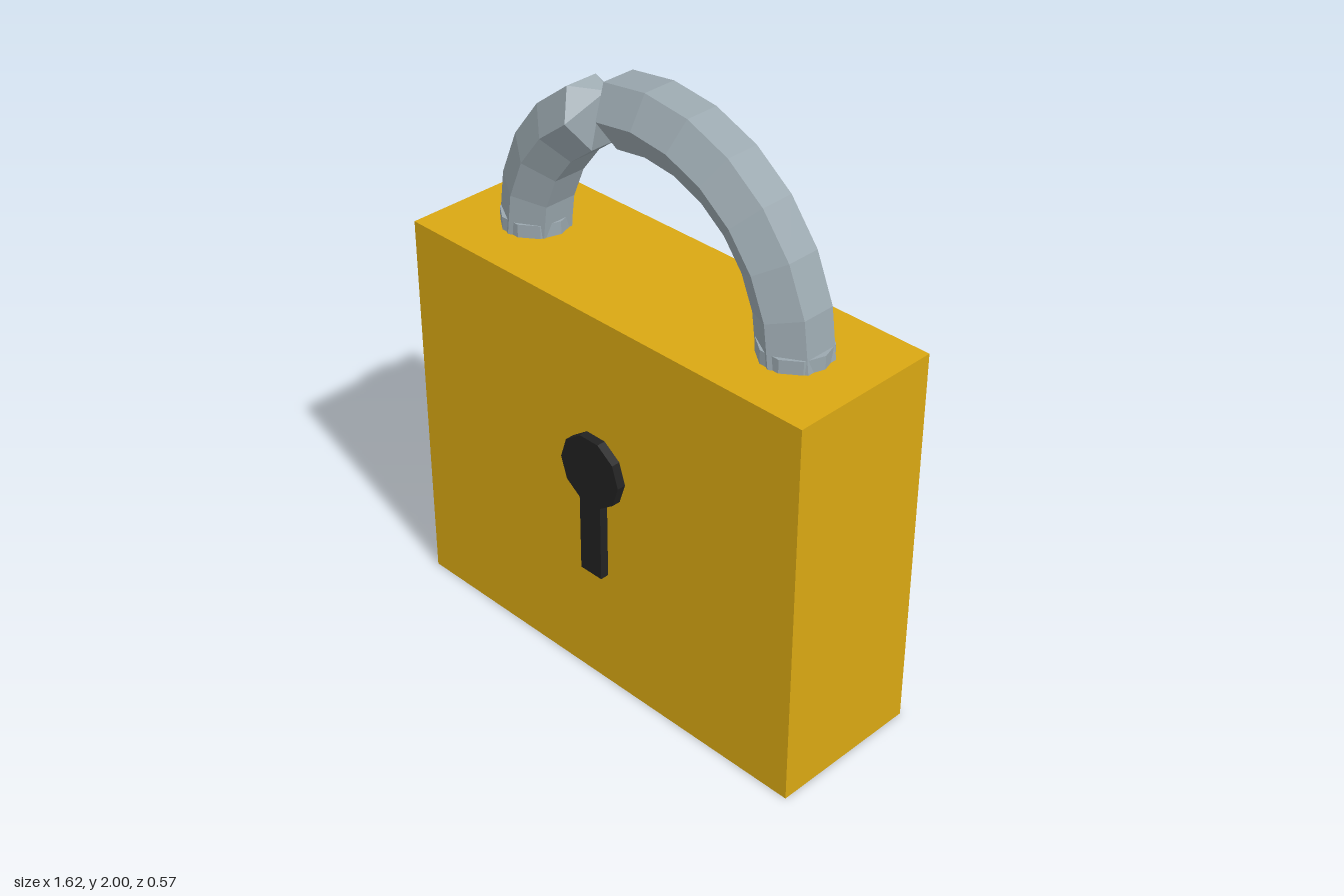
import * as THREE from 'three';

const BODY_TOP = 1.355, CENTRE_Z = -0.015;

function material(color) {
  return new THREE.MeshStandardMaterial({ color, flatShading: true, side: THREE.DoubleSide });
}

function part(name, geometry, mat, x, y, z) {
  const mesh = new THREE.Mesh(geometry, mat);
  mesh.name = name;
  mesh.position.set(x, y, z);
  return mesh;
}

// Ten-sided prism with corners on the x axis
function decagon(radius, height) {
  return new THREE.CylinderGeometry(radius, radius, height, 10, 1, false, Math.PI / 2);
}

// Half-circle hexagonal tube; the rings past twistAt are turned half a turn, pinching the bar
function shackleGeometry(R, r, segments, twistAt) {
  const sides = 6, positions = [], index = [];
  for (let j = 0; j <= segments; j++) {
    const theta = (j / segments) * Math.PI;
    for (let k = 0; k < sides; k++) {
      const phi = (k / sides) * Math.PI * 2 + (j > twistAt ? Math.PI : 0);
      const d = R + r * Math.sin(phi);
      positions.push(d * Math.cos(theta), d * Math.sin(theta), r * Math.cos(phi));
    }
  }
  for (let j = 0; j < segments; j++) {
    for (let k = 0; k < sides; k++) {
      const n = (k + 1) % sides;
      const a = j * sides + k, b = j * sides + n;
      const c = b + sides, d = a + sides;
      index.push(a, b, c, a, c, d);
    }
  }
  const geometry = new THREE.BufferGeometry();
  geometry.setAttribute('position', new THREE.Float32BufferAttribute(positions, 3));
  geometry.setIndex(index);
  geometry.computeVertexNormals();
  return geometry;
}

export function createModel() {
  const group = new THREE.Group();
  group.name = 'padlock';
  const brass = material(0xdaa813);
  const steel = material(0x9ba8af);
  const black = material(0x222222);

  // Body
  group.add(part('body', new THREE.BoxGeometry(1.624, BODY_TOP, 0.54), brass, 0, BODY_TOP / 2, CENTRE_Z));

  // Shackle and the collars at its feet
  group.add(part('shackle', shackleGeometry(0.545, 0.117, 12, 7), steel, 0, BODY_TOP, CENTRE_Z));
  for (const side of [-1, 1]) {
    const name = side > 0 ? 'leftCollar' : 'rightCollar';
    group.add(part(name, decagon(0.115, 0.045), steel, side * 0.543, BODY_TOP + 0.0225, CENTRE_Z));
  }

  // Raised keyhole on the front
  const keyhole = new THREE.Group();
  keyhole.name = 'keyhole';
  const round = part('keyholeRound', decagon(0.125, 0.03), black, 0, 0.817, 0.27);
  round.rotation.x = Math.PI / 2;
  keyhole.add(round);
  keyhole.add(part('keyholeSlot', new THREE.BoxGeometry(0.09, 0.32, 0.03), black, 0, 0.59, 0.27));
  group.add(keyhole);

  return group;
}
